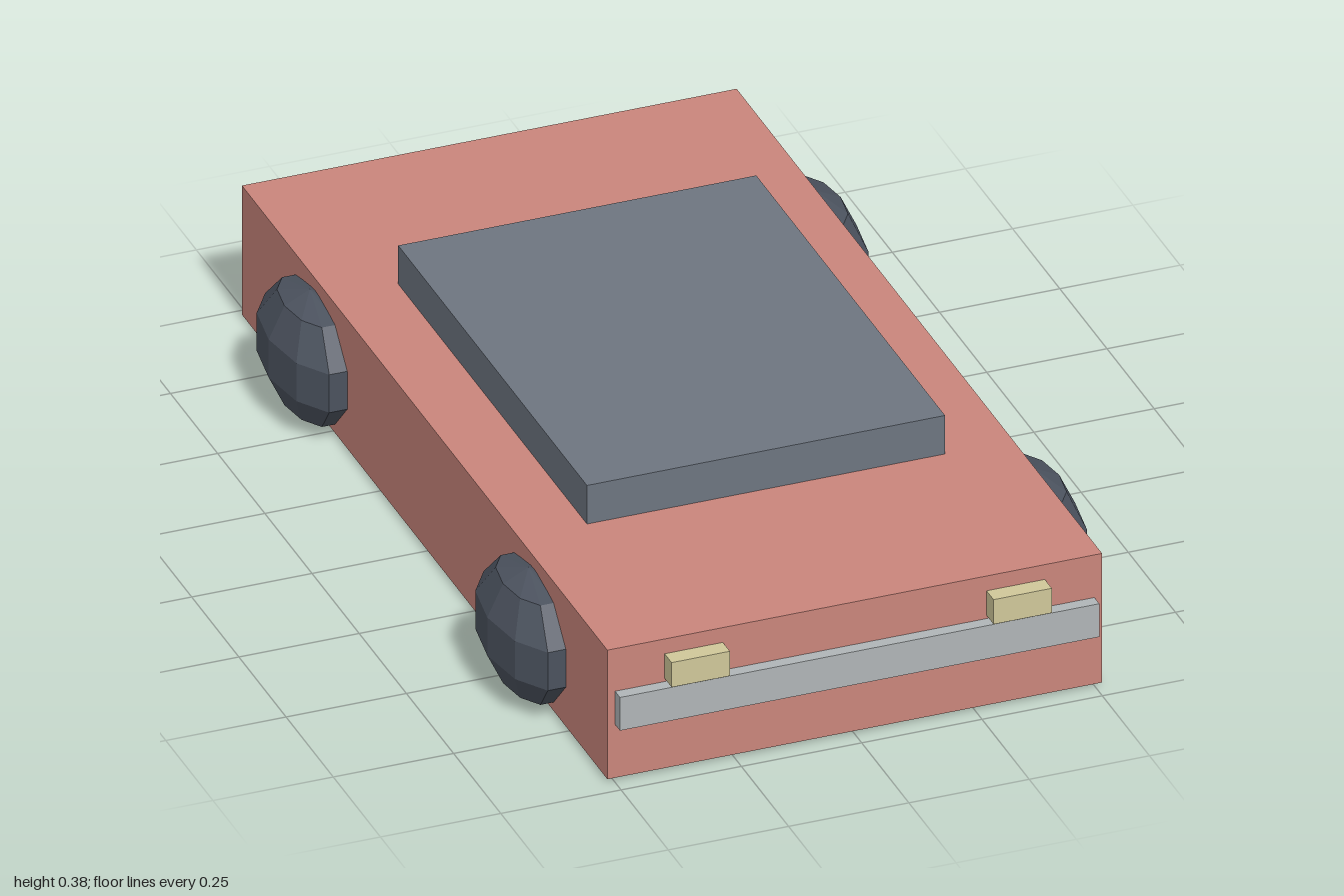
import * as THREE from 'three';

const paint = (color) => new THREE.MeshStandardMaterial({ color, flatShading: true });

export function createModel() {
  const car = new THREE.Group();
  car.name = 'car';
  const red = paint(0xc9857b);
  const glass = paint(0x6d7580);
  const rubber = paint(0x4b525e);
  const metal = paint(0xb0b5b7);
  const lamp = paint(0xcfc799);

  // Box given by its lowest and highest corners
  function box(name, material, [x0, y0, z0], [x1, y1, z1]) {
    const mesh = new THREE.Mesh(new THREE.BoxGeometry(x1 - x0, y1 - y0, z1 - z0), material);
    mesh.position.set((x0 + x1) / 2, (y0 + y1) / 2, (z0 + z1) / 2);
    mesh.name = name;
    car.add(mesh);
  }

  // Body and cabin
  box('body', red, [-0.514, 0.007, -0.973], [0.514, 0.295, 0.963]);
  box('cabin', glass, [-0.372, 0.285, -0.507], [0.372, 0.381, 0.493]);

  // Bumpers
  box('frontBumper', metal, [-0.498, 0.126, 0.935], [0.498, 0.2, 0.989]);
  box('rearBumper', metal, [-0.498, 0.126, -1], [0.498, 0.2, -0.946]);

  // Wheels: coarse flattened spheres, half sunk into the body sides
  const wheelShape = new THREE.SphereGeometry(1, 10, 5).scale(0.09, 0.137, 0.188);
  for (const [side, s] of [['left', 1], ['right', -1]]) {
    box(side + 'Headlight', lamp, [s * 0.3345 - 0.0605, 0.207, 0.95], [s * 0.3345 + 0.0605, 0.262, 1]);
    for (const [end, z] of [['Front', 0.573], ['Rear', -0.585]]) {
      const wheel = new THREE.Mesh(wheelShape, rubber);
      wheel.name = side + end + 'Wheel';
      wheel.position.set(s * 0.525, 0.137, z);
      car.add(wheel);
    }
  }
  return car;
}
